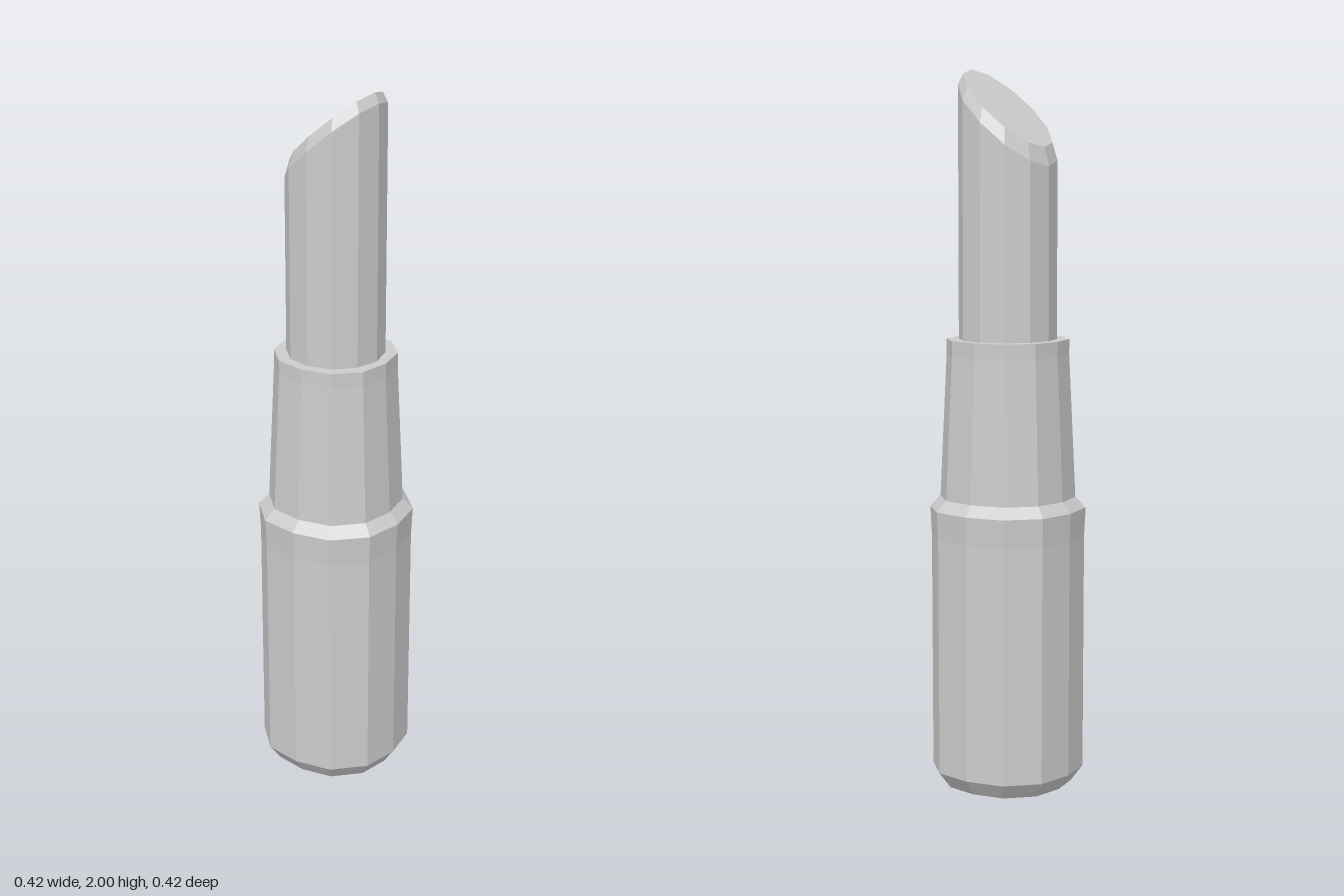
import * as THREE from 'three';

const SIDES = 12;

// Twelve-sided turned part; corners between the axes are pushed out by `bulge`.
function turned(name, profile, bulge, material, deform) {
  const points = profile.map(([r, y]) => new THREE.Vector2(r, y));
  const geometry = new THREE.LatheGeometry(points, SIDES);
  const pos = geometry.attributes.position;
  const rows = profile.length;
  for (let i = 0; i < pos.count; i++) {
    const corner = Math.floor(i / rows);
    const k = corner % 3 === 0 ? 1 : bulge;
    const x = pos.getX(i) * k, z = pos.getZ(i) * k;
    const y = pos.getY(i) + (deform ? deform(x, i % rows) : 0);
    pos.setXYZ(i, x, y, z);
  }
  geometry.computeVertexNormals();
  const mesh = new THREE.Mesh(geometry, material);
  mesh.name = name;
  return mesh;
}

export function createModel() {
  const grey = new THREE.MeshStandardMaterial({ color: 0xcccccc, flatShading: true });
  grey.name = 'light grey';

  const model = new THREE.Group();
  model.name = 'lipstick';

  // Handle with bevelled foot and shoulder
  model.add(turned('base', [
    [0, 0], [0.172, 0], [0.204, 0.045], [0.205, 0.71],
    [0.209, 0.79], [0.182, 0.82], [0, 0.82],
  ], 1.045, grey));

  // Tapered collar with a short straight rim
  model.add(turned('sleeve', [
    [0.182, 0.82], [0.164, 1.22], [0.164, 1.262], [0, 1.262],
  ], 1.04, grey));

  // Stick with a bevelled, slanted tip (upper rows follow the slant)
  model.add(turned('bullet', [
    [0.135, 1.262], [0.135, 1.855], [0.121, 1.894], [0, 1.894],
  ], 1.01, grey, (x, row) => (row > 0 ? 0.875 * x : 0)));

  return model;
}
